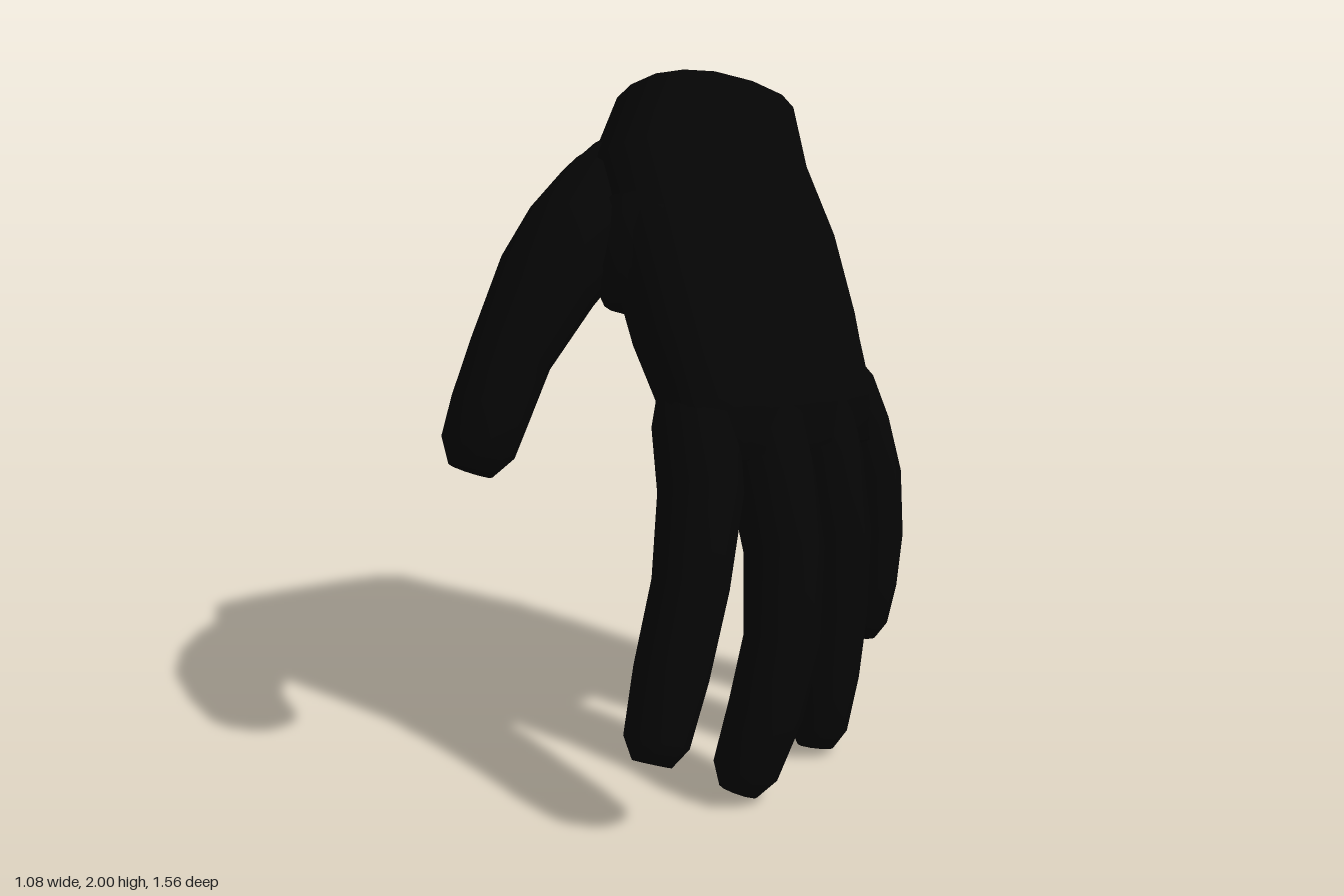
import * as THREE from 'three';

const glove = new THREE.MeshStandardMaterial({ color: 0x050505, side: THREE.DoubleSide });
glove.name = 'black';

// Skin a list of rings (arrays of Vector3); optionally close the last one.
function loft(rings, closeEnd) {
  const n = rings[0].length;
  const pts = rings.flat();
  const index = [];
  for (let r = 0; r < rings.length - 1; r++) {
    for (let i = 0; i < n; i++) {
      const a = r * n + i, b = r * n + (i + 1) % n;
      index.push(a, b, b + n, a, b + n, a + n);
    }
  }
  if (closeEnd) {
    const last = (rings.length - 1) * n;
    const mid = new THREE.Vector3();
    rings[rings.length - 1].forEach((p) => mid.addScaledVector(p, 1 / n));
    pts.push(mid);
    for (let i = 0; i < n; i++) index.push(last + i, last + (i + 1) % n, pts.length - 1);
  }
  const g = new THREE.BufferGeometry().setFromPoints(pts);
  g.setIndex(index);
  g.computeVertexNormals();
  return g;
}

// Tapered digit along [x, y, z, radius] points with a blunt rounded tip.
function digit(path) {
  const p = path.map(([x, y, z]) => new THREE.Vector3(x, y, z));
  const rad = path.map((q) => q[3]);
  const end = p.length - 1;
  const dir = p[end].clone().sub(p[end - 1]).normalize();
  p.push(p[end].clone().addScaledVector(dir, rad[end] * 0.65));
  rad.push(rad[end] * 0.6);
  const sides = 10;
  const rings = p.map((c, k) => {
    const t = p[Math.min(k + 1, p.length - 1)].clone().sub(p[Math.max(k - 1, 0)]).normalize();
    const v = new THREE.Vector3(0, 0, 1).addScaledVector(t, -t.z).normalize();
    const u = v.clone().cross(t);
    return Array.from({ length: sides }, (_, i) => {
      const a = (i / sides) * Math.PI * 2;
      return c.clone().addScaledVector(u, Math.cos(a) * rad[k]).addScaledVector(v, Math.sin(a) * rad[k]);
    });
  });
  return loft(rings, true);
}

// Flattened palm section: centre, half width toward the thumb (x, y, z), half thickness.
const backNormal = new THREE.Vector3(0.86, 0.5, 0);
function palmRing([x, y, z, wx, wy, wz, t]) {
  const sides = 16;
  const soft = (s) => Math.sign(s) * Math.abs(s) ** 0.8;
  return Array.from({ length: sides }, (_, i) => {
    const a = (i / sides) * Math.PI * 2;
    const s = soft(Math.sin(a));
    return new THREE.Vector3(x + s * wx, y + s * wy, z + s * wz)
      .addScaledVector(backNormal, soft(Math.cos(a)) * t - 0.02 * s * s);
  });
}

export function createModel() {
  const hand = new THREE.Group();
  hand.name = 'hand';
  const add = (name, geometry) => {
    const m = new THREE.Mesh(geometry, glove);
    m.name = name;
    hand.add(m);
  };

  // Palm from wrist to knuckles
  const wrist = [-0.355, 1.85, -0.475, -0.06, 0.11, 0.305, 0.19];
  add('palm', loft([
    wrist,
    [-0.262, 1.68, -0.325, -0.04, 0.125, 0.43, 0.21],
    [-0.125, 1.47, -0.26, -0.03, 0.11, 0.48, 0.205],
    [0.015, 1.235, -0.19, -0.01, 0.09, 0.49, 0.2],
    [0.155, 1.03, -0.12, 0, 0.1, 0.49, 0.16],
    [0.24, 0.9, -0.09, 0, 0.06, 0.42, 0.1],
  ].map(palmRing), true));

  // Lip and shallow recess of the wrist opening
  const [x, y, z, wx, wy, wz, t] = wrist;
  const inset = (depth, s) =>
    palmRing([x + depth * 0.5, y - depth * 0.86, z + depth * 0.3, wx * s, wy * s, wz * s, t * s]);
  add('cuffLining', loft([palmRing(wrist), inset(0.02, 0.82), inset(0.09, 0.7)], true));

  // Thumb, fingers and the web of skin beside the thumb, each rooted inside the palm
  const digits = {
    thumb: [[-0.35, 1.72, -0.22, 0.1], [-0.37, 1.675, -0.08, 0.155], [-0.37, 1.62, 0.03, 0.172],
      [-0.365, 1.54, 0.18, 0.17], [-0.37, 1.43, 0.32, 0.155],
      [-0.385, 1.24, 0.475, 0.125], [-0.39, 1.09, 0.565, 0.12], [-0.39, 0.985, 0.625, 0.112]],
    thumbWeb: [[-0.22, 1.72, -0.12, 0.1], [-0.2, 1.58, 0.06, 0.16], [-0.175, 1.43, 0.13, 0.15]],
    indexFinger: [[0.04, 1.2, 0.18, 0.08], [0.13, 1.07, 0.26, 0.13], [0.22, 0.89, 0.355, 0.126],
      [0.28, 0.66, 0.485, 0.113], [0.3, 0.43, 0.605, 0.11], [0.315, 0.255, 0.695, 0.096]],
    middleFinger: [[0.1, 1.15, 0, 0.08], [0.205, 1.02, 0.03, 0.125], [0.28, 0.87, 0.08, 0.128],
      [0.365, 0.69, 0.14, 0.12], [0.425, 0.45, 0.235, 0.113], [0.43, 0.26, 0.32, 0.112],
      [0.405, 0.085, 0.388, 0.098]],
    ringFinger: [[0.1, 1.13, -0.3, 0.08], [0.185, 1.0, -0.265, 0.12], [0.25, 0.86, -0.235, 0.12],
      [0.32, 0.65, -0.185, 0.118], [0.35, 0.42, -0.135, 0.112], [0.36, 0.23, -0.085, 0.108],
      [0.37, 0.07, -0.04, 0.09]],
    littleFinger: [[0.06, 1.15, -0.47, 0.07], [0.14, 1.0, -0.495, 0.11], [0.185, 0.88, -0.51, 0.11],
      [0.235, 0.73, -0.52, 0.1], [0.265, 0.55, -0.495, 0.096], [0.27, 0.4, -0.46, 0.094],
      [0.27, 0.28, -0.435, 0.08]],
  };
  for (const [name, path] of Object.entries(digits)) add(name, digit(path));

  return hand;
}
